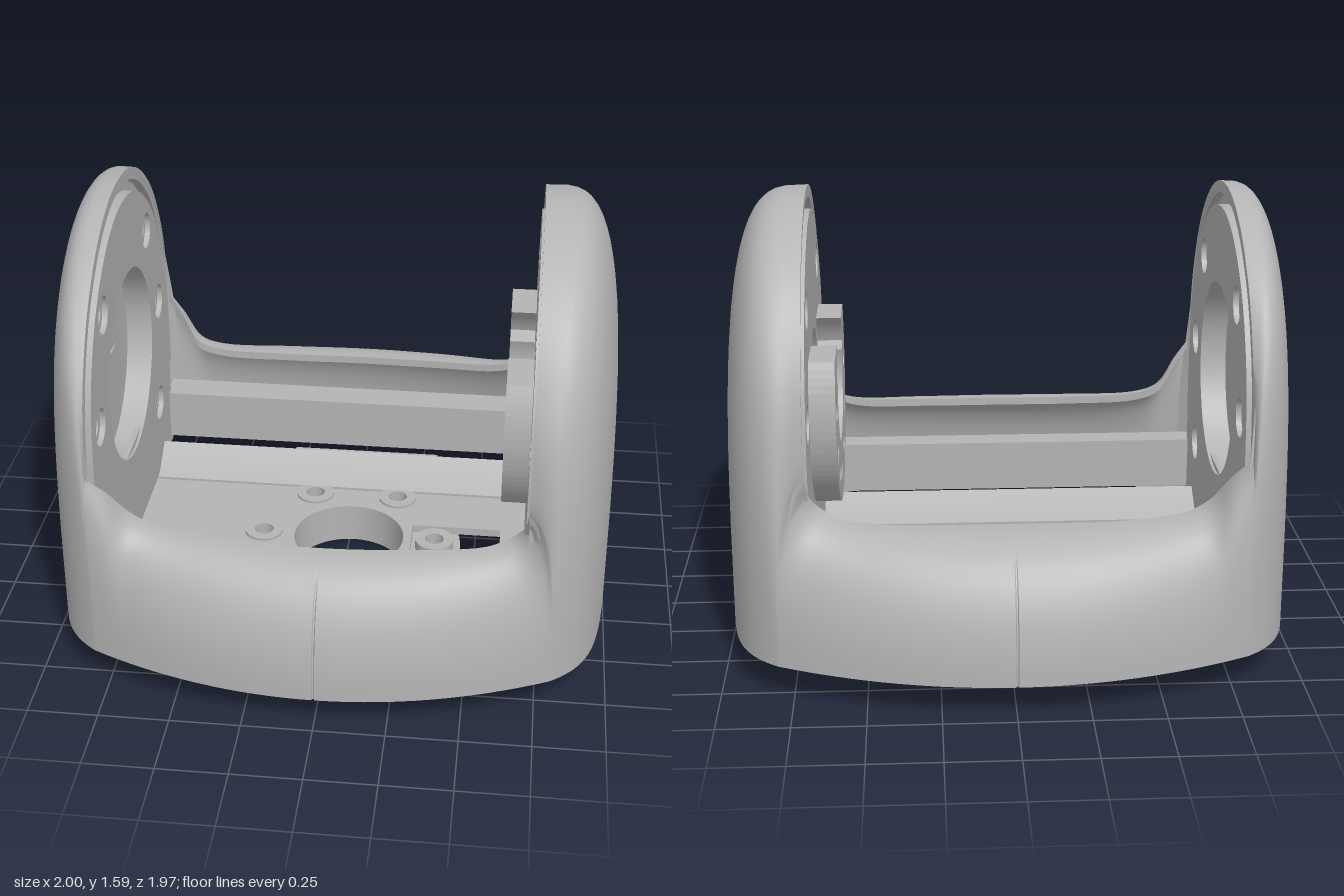
import * as THREE from 'three';
import { toCreasedNormals } from 'three/addons/utils/BufferGeometryUtils.js';

const AXIS_Y = 0.86, AXIS_Z = 0.02, BOTTOM = 0.12;

export function createModel() {
  const model = new THREE.Group();
  const grey = new THREE.MeshStandardMaterial({ color: 0xb4b4b4, side: THREE.DoubleSide });
  grey.name = 'plain grey';

  const add = (name, geo, x = 0, y = 0, z = 0) => {
    const mesh = new THREE.Mesh(geo, grey);
    mesh.name = name;
    mesh.position.set(x, y, z);
    model.add(mesh);
    return mesh;
  };
  const box = (name, x0, x1, y0, y1, z0, z1) => add(name,
    new THREE.BoxGeometry(x1 - x0, y1 - y0, z1 - z0), (x0 + x1) / 2, (y0 + y1) / 2, (z0 + z1) / 2);
  const extrude = (shape, depth) =>
    new THREE.ExtrudeGeometry(shape, { depth, bevelEnabled: false, curveSegments: 32 });
  const circle = (x, y, r) => new THREE.Path().absarc(x, y, r, 0, Math.PI * 2, true);
  const polar = (r, a) => [r * Math.cos(a), r * Math.sin(a)];

  // Arch outline of an arm, as half width and height
  const archHalf = (foot) => [[0.725, foot], [0.712, 0.93], [0.685, 1.06], [0.635, 1.18], [0.562, 1.3],
    [0.47, 1.4], [0.335, 1.5], [0.17, 1.57], [0, 1.592]];
  const archPoints = (foot, k = 1) => {
    const half = archHalf(foot);
    const all = [...half, ...half.slice(0, -1).reverse().map(([w, y]) => [-w, y])];
    const curve = new THREE.CatmullRomCurve3(all.map(([w, y]) => new THREE.Vector3(0, y, w)));
    return curve.getPoints(48).map((p) => new THREE.Vector2(p.z * k, AXIS_Y + (p.y - AXIS_Y) * k));
  };

  // Bowed footprint: front and back edges, then the sides
  const footprintZ = (x) => 0.985 - 0.3 * x * x;
  const footprintX = (z) => 1 - 0.12 * z * z - 0.8 * z ** 8;

  // Closed rim of the shell: front wall, left arm, back wall, right arm
  const wallTable = [[-0.8, 0.8, 0.725], [-0.74, 0.73, 0.69], [-0.67, 0.63, 0.65], [-0.58, 0.59, 0.66],
    [-0.3, 0.57, 0.685], [0, 0.565, 0.7], [0.3, 0.57, 0.685], [0.56, 0.585, 0.66], [0.64, 0.62, 0.65],
    [0.685, 0.68, 0.68], [0.7, 0.76, 0.725]];
  const corner = 0.801;
  const wall = (side) => {
    const curve = new THREE.CatmullRomCurve3(wallTable.map(([x, y, z]) => new THREE.Vector3(x, y, z * side + AXIS_Z)));
    const pts = curve.getPoints(60);
    const seam = [-0.005, -0.002, 0.002, 0.005].map((x) => new THREE.Vector3(x, pts[30].y, pts[30].z));
    pts.splice(30, 1, ...seam);
    return pts.map((rim) => {
      const bx = rim.x * corner / (rim.x < 0 ? 0.8 : 0.7);
      return { rim, bx, bz: side * footprintZ(bx), inset: Math.abs(rim.x) < 0.003 ? 0.992 : 1 };
    });
  };
  const arm = (side, x, foot) => archPoints(foot).map((p) => {
    const bz = p.x * footprintZ(corner) / 0.725;
    return { rim: new THREE.Vector3(x, p.y, p.x + AXIS_Z), bx: side * footprintX(bz), bz, inset: 1 };
  });
  const ring = [wall(1), arm(1, 0.7, 0.76), wall(-1).reverse(), arm(-1, -0.8, 0.8).reverse()]
    .flatMap((part) => part.slice(0, -1));

  // Shell: each column bulges from the base curve to the rim, then returns inside
  const ROWS = 18, positions = [], indices = [];
  const columnPoint = (c, t, inner) => {
    const n = THREE.MathUtils.lerp(2.3, 3.8, (c.rim.y - 0.565) / 1.03);
    const keep = Math.max(0, Math.cos(t * Math.PI / 2)) ** (2 / n);
    const rise = Math.sin(t * Math.PI / 2) ** (2 / n);
    const k = inner ? 0.96 : c.inset, top = c.rim.y - (inner ? 0.03 : 0);
    return [THREE.MathUtils.lerp(c.rim.x, c.bx * k, keep), BOTTOM + (top - BOTTOM) * rise,
      THREE.MathUtils.lerp(c.rim.z, c.bz * k, keep)];
  };
  const perColumn = 2 * (ROWS + 1);
  ring.forEach((c, i) => {
    for (let j = 0; j <= ROWS; j++) positions.push(...columnPoint(c, j / ROWS, false));
    for (let j = ROWS; j >= 0; j--) positions.push(...columnPoint(c, j / ROWS, true));
    const next = (i + 1) % ring.length;
    for (let j = 0; j < perColumn; j++) {
      const j2 = (j + 1) % perColumn;
      const a = i * perColumn + j, b = next * perColumn + j;
      const d = i * perColumn + j2, e = next * perColumn + j2;
      indices.push(a, b, e, a, e, d);
    }
  });
  const shell = new THREE.BufferGeometry();
  shell.setAttribute('position', new THREE.Float32BufferAttribute(positions, 3));
  shell.setIndex(indices);
  add('outerShell', toCreasedNormals(shell, 0.7));

  // Inner faces of the arms
  const archShape = (k, foot) => {
    const pts = archPoints(0.8, k);
    const w = pts[0].x;
    return [new THREE.Vector2(w, foot), ...pts, new THREE.Vector2(-w, foot)];
  };
  const screws = [[0.36, 1.24], [0.5, 0.875], [0.43, 0.455]].flatMap(([u, v]) => [[u, v], [-u, v]]);
  for (const [label, side, face, holeR] of [['left', 1, 0.7, 0.21], ['right', -1, -0.8, 0.36]]) {
    const layer = (name, shape, from, depth) => {
      const geo = extrude(shape, depth).rotateY(Math.PI / 2);
      add(label + name, geo, side > 0 ? face + from : face - from - depth, 0, AXIS_Z);
    };
    const lip = new THREE.Shape(archShape(0.985, 0.5));
    lip.holes.push(new THREE.Path(archShape(0.94, 0.52)));
    layer('ArmLip', lip, 0.002, 0.02);
    const back = new THREE.Shape(archShape(0.93, 0.17));
    back.holes.push(circle(0, AXIS_Y, holeR));
    layer('ArmBackPlate', back, 0.03, 0.02);
    const panel = new THREE.Shape(archShape(0.88, 0.17));
    panel.holes.push(circle(0, AXIS_Y, holeR));
    for (const [u, v] of screws) {
      panel.holes.push(circle(u, v, 0.068));
      const seat = new THREE.Shape().absarc(u, v, 0.068, 0, Math.PI * 2, false);
      seat.holes.push(circle(u, v, 0.042));
      layer('ScrewSeat', seat, 0.012, 0.02);
    }
    layer('ArmPanel', panel, -0.008, 0.04);
  }

  // Collar and ribs inside the right arm, seen through its round opening
  add('openingCollar', new THREE.CylinderGeometry(0.36, 0.36, 0.09, 48, 1, true).rotateZ(Math.PI / 2),
    -0.845, AXIS_Y, AXIS_Z);
  for (const d of [-0.12, 0.12]) {
    box('uprightRib', -0.96, -0.94, 0.5, 1.22, AXIS_Z + d - 0.008, AXIS_Z + d + 0.008);
    box('crossRib', -0.96, -0.94, AXIS_Y + d - 0.008, AXIS_Y + d + 0.008, -0.36, 0.4);
  }

  // Open ring hub with slim horns, shared by the left arm and the underside
  const hubHoles = Array.from({ length: 7 }, (_, i) => Math.PI * (1 + i / 6));
  const hub = (r, depth) => {
    const a = Math.asin(0.2 / r), b = Math.asin(0.2 / 0.27), c = 0.35;
    const shape = new THREE.Shape();
    shape.absarc(0, 0, r, Math.PI - a, Math.PI * 2 + a, false);
    shape.absarc(0, 0, 0.27, Math.PI * 2 + b, Math.PI * 2 + c, true);
    shape.absarc(0, 0, 0.21, Math.PI * 2 + c, Math.PI - c, true);
    shape.absarc(0, 0, 0.27, Math.PI - c, Math.PI - b, true);
    shape.closePath();
    for (const h of hubHoles) shape.holes.push(circle(...polar(0.33, h), 0.036));
    return extrude(shape, depth);
  };
  add('armHub', hub(0.43, 0.1).rotateY(Math.PI / 2), 0.6, AXIS_Y, AXIS_Z);
  add('baseHub', hub(0.43, 0.1).rotateX(Math.PI / 2), 0.02, 0.1, AXIS_Z);
  const disc = new THREE.Shape().absarc(0, 0, 0.43, 0, Math.PI * 2, false);
  disc.holes.push(circle(0, 0, 0.21));
  for (const h of hubHoles) disc.holes.push(circle(...polar(0.33, h), 0.036));
  add('baseDisc', extrude(disc, 0.035).rotateX(Math.PI / 2), 0.02, 0.125, AXIS_Z);

  // Floor plate with tabs, centre hole, slot and screw holes (shape y is -z)
  const points = (list) => list.map(([x, y]) => new THREE.Vector2(x, y));
  const floor = new THREE.Shape(points([[-0.9, -0.55], [-0.5, -0.55], [-0.38, -0.58], [-0.27, -0.64],
    [0.32, -0.64], [0.32, -0.59], [0.7, -0.59], [0.9, -0.55], [0.9, 0.53], [0.32, 0.53], [0.32, 0.62],
    [-0.27, 0.62], [-0.27, 0.58], [-0.38, 0.54], [-0.5, 0.5], [-0.9, 0.5]]));
  floor.holes.push(circle(0.02, -0.02, 0.21));
  floor.holes.push(new THREE.Path(points([[0.26, -0.12], [0.26, 0.08], [0.6, 0.08], [0.6, -0.12]])));
  const seats = [[-0.31, -0.02], [-0.145, 0.266], [0.185, 0.266]];
  for (const [x, y] of seats) floor.holes.push(circle(x, y, 0.04));
  add('floorPlate', extrude(floor, 0.03).rotateX(-Math.PI / 2), 0, 0.125, 0);
  for (const [x, y] of [...seats, [0.35, -0.02]]) {
    const seat = new THREE.Shape().absarc(x, y, 0.073, 0, Math.PI * 2, false);
    seat.holes.push(circle(x, y, 0.036));
    add('floorScrewSeat', extrude(seat, 0.04).rotateX(-Math.PI / 2), 0, 0.125, 0);
  }

  // Curved flanks of the trough, and ledges along the walls
  for (const side of [1, -1]) {
    const flank = new THREE.Shape();
    flank.moveTo(0.33, 0.15);
    for (let i = 0; i <= 8; i++) {
      const w = 0.33 + 0.14 * i / 8;
      flank.lineTo(w, AXIS_Y - Math.sqrt(0.77 ** 2 - w * w));
    }
    flank.lineTo(0.47, 0.15);
    const geo = toCreasedNormals(extrude(flank, 1.5), 0.4).rotateY(side > 0 ? -Math.PI / 2 : Math.PI / 2);
    add('troughFlank', geo, side > 0 ? 0.7 : -0.8, 0, AXIS_Z);
    const z = side > 0 ? 0.63 : -0.71;
    box('wallLedge', -0.8, 0.7, 0.2, 0.4, z, z + (side > 0 ? 0.1 : 0.125));
  }
  return model;
}
